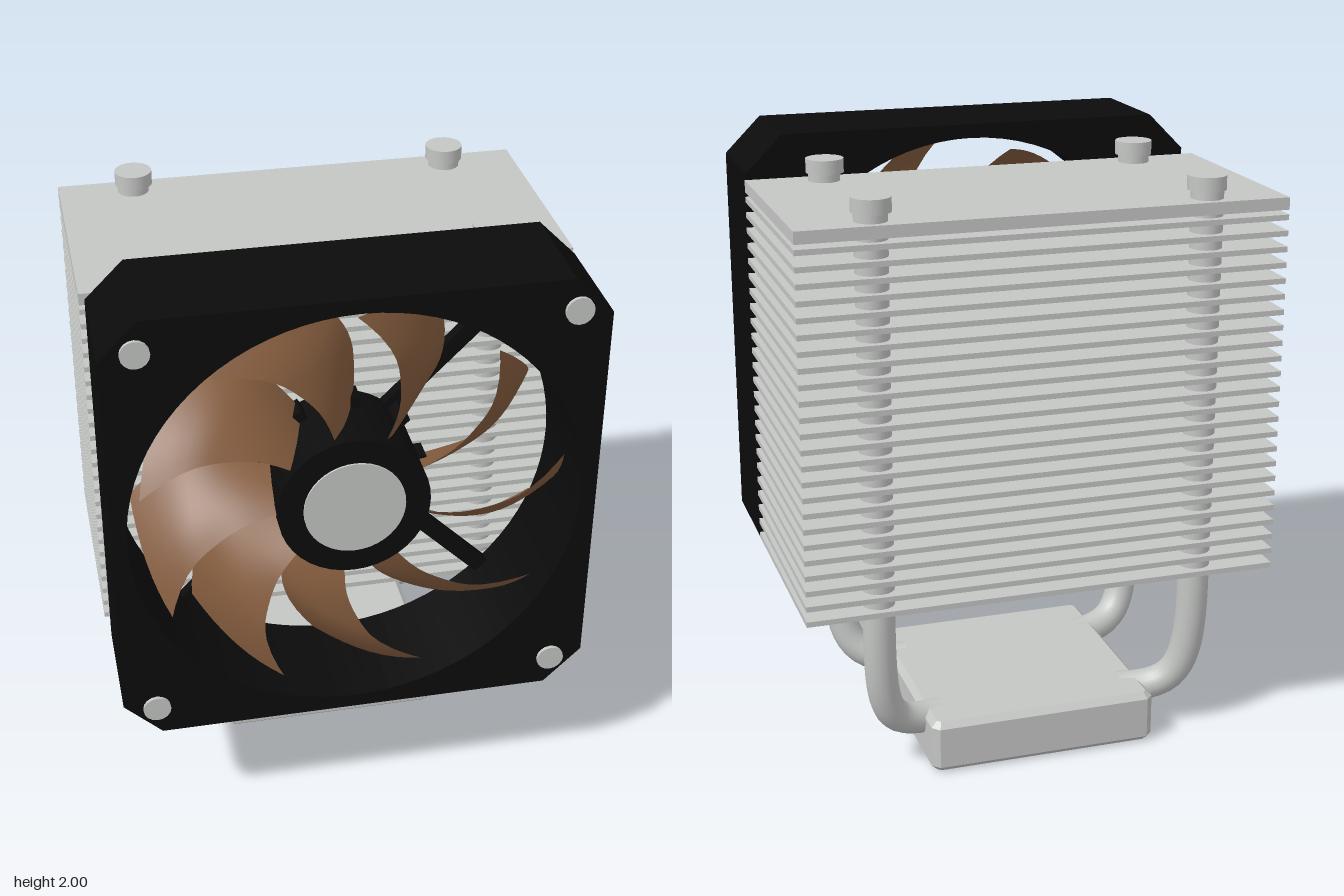
import * as THREE from 'three';

const silver = new THREE.MeshStandardMaterial({ name: 'silver metal', color: 0xc4c6c4 });
const black = new THREE.MeshStandardMaterial({ name: 'black plastic', color: 0x0b0b0b });
const brown = new THREE.MeshStandardMaterial({ name: 'brown plastic', color: 0x845c3e, side: THREE.DoubleSide });

const MID_Z = -0.23; // centre of the fin stack and base
const FAN_Y = 1.2175;

function add(parent, name, geometry, material, x = 0, y = 0, z = 0) {
  const mesh = new THREE.Mesh(geometry, material);
  mesh.name = name;
  mesh.position.set(x, y, z);
  parent.add(mesh);
  return mesh;
}

// Rectangle with cut corners
function cutRect(hw, hh, c) {
  const pts = [
    [hw - c, -hh], [hw, -hh + c], [hw, hh - c], [hw - c, hh],
    [-hw + c, hh], [-hw, hh - c], [-hw, -hh + c], [-hw + c, -hh],
  ];
  return new THREE.Shape(pts.map(([x, y]) => new THREE.Vector2(x, y)));
}

// Cylinder lying along z
const discZ = (r, depth, sides) => new THREE.CylinderGeometry(r, r, depth, sides).rotateX(Math.PI / 2);

// Swept, twisted fan blade bent from a flat grid
function bladeGeometry() {
  // radius, front edge angle, rear edge angle (degrees), front z, rear z
  const rows = [
    [0.24, 64, 39, 0.52, 0.29],
    [0.35, 66.5, 41.5, 0.53, 0.28],
    [0.46, 72, 45, 0.54, 0.28],
    [0.56, 78, 51.5, 0.55, 0.28],
    [0.695, 90, 63.4, 0.56, 0.28],
  ];
  const track = (k) => new THREE.SplineCurve(rows.map((r, i) => new THREE.Vector2(i, r[k])));
  const tracks = rows[0].map((_, k) => track(k));
  const geo = new THREE.PlaneGeometry(1, 1, 8, 14);
  const p = geo.attributes.position;
  for (let i = 0; i < p.count; i++) {
    const s = p.getX(i) + 0.5, t = p.getY(i) + 0.5;
    const [r, a0, a1, z0, z1] = tracks.map((c) => c.getPoint(t).y);
    const a = THREE.MathUtils.degToRad(a0 + (a1 - a0) * s);
    const z = z0 + (z1 - z0) * s + 0.03 * Math.sin(Math.PI * s);
    p.setXYZ(i, r * Math.cos(a), r * Math.sin(a), z);
  }
  geo.computeVertexNormals();
  return geo;
}

function createFan() {
  const fan = new THREE.Group();
  fan.name = 'fan';
  fan.position.y = FAN_Y;

  // Square frame with a round opening
  const shape = cutRect(0.785, 0.7825, 0.125);
  shape.holes.push(new THREE.Path().absarc(0, 0, 0.735, 0, Math.PI * 2, true));
  add(fan, 'fanFrame', new THREE.ExtrudeGeometry(shape, { depth: 0.39, bevelEnabled: false, curveSegments: 40 }),
    black, 0, 0, 0.22);

  // Corner screws
  for (const sx of [-1, 1]) for (const sy of [-1, 1])
    add(fan, 'cornerScrew', discZ(0.046, 0.06, 16), silver, sx * 0.675, sy * 0.676, 0.592);

  // Hub and its metal cap
  add(fan, 'hub', discZ(0.25, 0.31, 40), black, 0, 0, 0.395);
  add(fan, 'hubCap', discZ(0.167, 0.008, 40), silver, 0, 0, 0.553);

  // Rear struts on the diagonals
  for (let i = 0; i < 4; i++) {
    const a = Math.PI / 4 + i * Math.PI / 2;
    const strut = add(fan, 'strut', new THREE.BoxGeometry(0.56, 0.055, 0.04), black,
      0.47 * Math.cos(a), 0.47 * Math.sin(a), 0.245);
    strut.rotation.z = a;
  }

  // Nine blades, each with a small root tab
  const blade = bladeGeometry();
  for (let i = 0; i < 9; i++) {
    const turn = i * Math.PI * 2 / 9;
    add(fan, 'blade', blade, brown).rotation.z = turn;
    const a = turn + THREE.MathUtils.degToRad(42);
    add(fan, 'bladeRoot', new THREE.BoxGeometry(0.06, 0.04, 0.08), black,
      0.255 * Math.cos(a), 0.255 * Math.sin(a), 0.31).rotation.z = a;
  }
  return fan;
}

// Heat pipe: straight through the fins, then curving into the base
function pipeGeometry(sx, sz) {
  const v = (x, y, dz) => new THREE.Vector3(sx * x, y, MID_Z + sz * dz);
  const path = new THREE.CurvePath();
  path.add(new THREE.LineCurve3(v(0.548, 1.9, 0.317), v(0.548, 0.55, 0.317)));
  path.add(new THREE.CubicBezierCurve3(
    v(0.548, 0.55, 0.317), v(0.548, 0.2, 0.317), v(0.52, 0.135, 0.26), v(0.32, 0.135, 0.225)));
  return new THREE.TubeGeometry(path, 70, 0.053, 18, false);
}

export function createModel() {
  const model = new THREE.Group();
  model.name = 'cpuCooler';

  // Bevelled base block
  const baseGeo = new THREE.ExtrudeGeometry(cutRect(0.37, 0.37, 0.012),
    { depth: 0.14, bevelEnabled: true, bevelThickness: 0.02, bevelSize: 0.02, bevelSegments: 1 });
  add(model, 'base', baseGeo.rotateX(-Math.PI / 2), silver, 0, 0.02, MID_Z);

  // Fin stack and thicker top plate
  const finGeo = new THREE.BoxGeometry(1.6, 0.018, 0.785);
  for (let i = 0; i < 24; i++) add(model, 'fin', finGeo, silver, 0, 0.602 + i * 0.0521, MID_Z);
  add(model, 'topPlate', new THREE.BoxGeometry(1.6, 0.04, 0.785), silver, 0, 1.845, MID_Z);

  // Four heat pipes with end caps
  for (const sx of [-1, 1]) for (const sz of [-1, 1]) {
    add(model, 'heatPipe', pipeGeometry(sx, sz), silver);
    add(model, 'pipeCap', new THREE.CylinderGeometry(0.063, 0.063, 0.047, 24), silver,
      sx * 0.546, 1.916, MID_Z + sz * 0.315);
  }

  model.add(createFan());
  return model;
}
